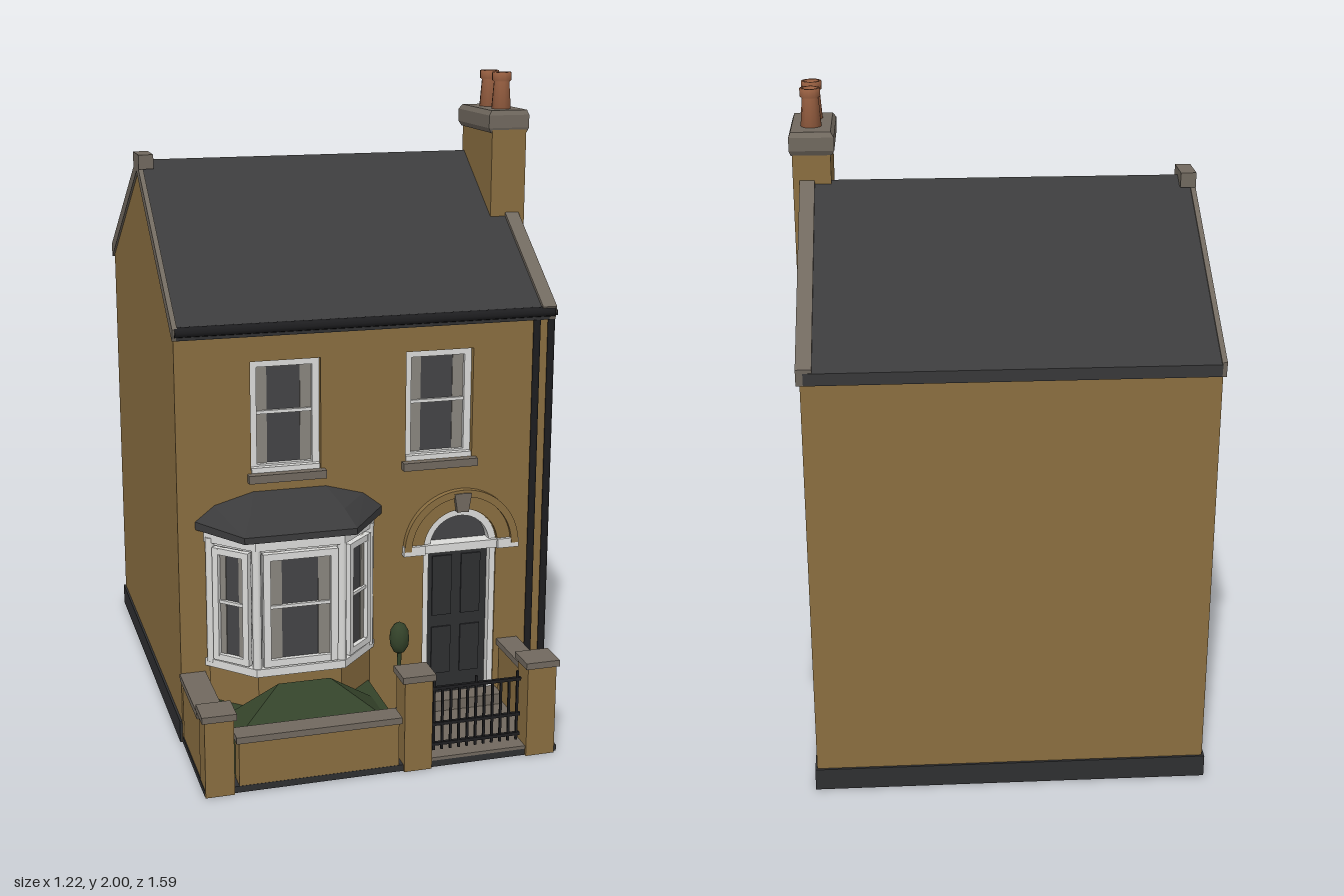
import * as THREE from 'three';
import { ConvexGeometry } from 'three/addons/geometries/ConvexGeometry.js';

const COLORS = {
  brick: 0x8a6e40, slate: 0x3b3b3c, stone: 0x71695f, whitePaint: 0xdcdcda, terracotta: 0x9c6243,
  leaf: 0x34432a, blackMetal: 0x1d1d1f, plinthGrey: 0x2e2f31, glass: 0x444446, curtain: 0x8a867f,
};

export function createModel() {
  const root = new THREE.Group();
  root.name = 'terracedHouse';
  const M = {};
  for (const [name, color] of Object.entries(COLORS)) {
    M[name] = new THREE.MeshStandardMaterial({ color });
    M[name].name = name;
  }

  const add = (name, geo, mat, parent = root) => {
    const mesh = new THREE.Mesh(geo, M[mat]);
    mesh.name = name;
    parent.add(mesh);
    return mesh;
  };
  // Box given by its limits
  const box = (name, mat, x0, x1, y0, y1, z0, z1, parent = root) => {
    const m = add(name, new THREE.BoxGeometry(x1 - x0, y1 - y0, z1 - z0), mat, parent);
    m.position.set((x0 + x1) / 2, (y0 + y1) / 2, (z0 + z1) / 2);
    return m;
  };
  const shapeOf = (pts) => new THREE.Shape(pts.map((p) => new THREE.Vector2(p[0], p[1])));
  const extrude = (shape, depth) =>
    new THREE.ExtrudeGeometry(shape, { depth, bevelEnabled: false, curveSegments: 16 });
  // Side profile (z, y) swept from x0 to x1
  const sweepX = (name, mat, pts, x0, x1) =>
    add(name, extrude(shapeOf(pts), x1 - x0).rotateY(-Math.PI / 2).translate(x1, 0, 0), mat);
  // Floor plan (x, z) raised from y0 to y1
  const raise = (name, mat, pts, y0, y1) =>
    add(name, extrude(shapeOf(pts.map(([x, z]) => [x, -z])), y1 - y0)
      .rotateX(-Math.PI / 2).translate(0, y0, 0), mat);
  const rod = (name, mat, r, len, x, y, z, sides = 8) => {
    const m = add(name, new THREE.CylinderGeometry(r, r, len, sides), mat);
    m.position.set(x, y, z);
    return m;
  };

  // House body and dark plinth
  sweepX('houseBody', 'brick',
    [[-0.765, 0], [0.39, 0], [0.39, 1.325], [-0.14, 1.715], [-0.765, 1.335]], -0.605, 0.57);
  box('plinth', 'plinthGrey', -0.612, 0.576, 0, 0.07, -0.772, 0.425);
  box('breastPlinth', 'plinthGrey', 0.5, 0.607, 0, 0.07, -0.16, 0.125);

  // Front wall with openings for the upper windows and the door
  const wall = shapeOf([[-0.605, 0], [0.57, 0], [0.57, 1.29], [-0.605, 1.29]]);
  const upperX = [-0.27, 0.215];
  for (const x of upperX) {
    const h = new THREE.Path();
    h.moveTo(x - 0.108, 0.85).lineTo(x - 0.108, 1.195).lineTo(x + 0.108, 1.195)
      .lineTo(x + 0.108, 0.85).closePath();
    wall.holes.push(h);
  }
  const doorX = 0.29, springY = 0.56;
  const doorway = new THREE.Path();
  doorway.moveTo(doorX - 0.12, 0.04).lineTo(doorX + 0.12, 0.04).lineTo(doorX + 0.12, springY);
  doorway.absarc(doorX, springY, 0.12, 0, Math.PI, false);
  doorway.closePath();
  wall.holes.push(doorway);
  add('frontWall', extrude(wall, 0.042).translate(0, 0, 0.388), 'brick');

  // Roof slabs, edge trims and ridge block
  const roofProfile = (up) => [[0.46, 1.305 + up], [-0.14, 1.735 + up], [-0.785, 1.36 + up],
    [-0.78, 1.322], [-0.14, 1.7], [0.45, 1.275]];
  sweepX('roof', 'slate', roofProfile(0), -0.6, 0.56);
  sweepX('leftRoofEdge', 'stone', roofProfile(0.006), -0.612, -0.597);
  sweepX('rightRoofEdge', 'stone', roofProfile(0.012), 0.535, 0.58);
  box('ridgeBlock', 'stone', -0.612, -0.565, 1.71, 1.755, -0.2, -0.09);

  // Gutter, fascia and rain pipes
  box('fascia', 'whitePaint', -0.605, 0.56, 1.272, 1.288, 0.43, 0.438);
  rod('gutter', 'blackMetal', 0.016, 1.18, -0.015, 1.3, 0.45).rotation.z = Math.PI / 2;
  box('sideGutter', 'blackMetal', 0.565, 0.585, 1.288, 1.305, 0.125, 0.455);
  for (const x of [0.525, 0.572]) rod('rainPipe', 'blackMetal', 0.012, 1.29, x, 0.645, 0.438);

  // Chimney with cap and two pots
  box('chimneyBreast', 'brick', 0.485, 0.6, 0.0, 1.83, -0.155, 0.12);
  add('chimneyCap', new ConvexGeometry([[1.815, 0.002], [1.83, 0.01], [1.87, 0.01], [1.885, 0]]
    .flatMap(([y, e]) => [[0.483 - e, -0.156 - e], [0.602 + e * 0.6, -0.156 - e],
      [0.483 - e, 0.116 + e * 0.6], [0.602 + e * 0.6, 0.116 + e * 0.6]]
      .map(([x, z]) => new THREE.Vector3(x, y, z)))), 'stone');
  const pot = new THREE.LatheGeometry([[0, 0], [0.032, 0], [0.025, 0.09], [0.031, 0.095],
    [0.031, 0.12], [0.022, 0.12], [0.02, 0.09], [0, 0.09]].map((p) => new THREE.Vector2(...p)), 12);
  for (const z of [0.04, -0.07]) add('chimneyPot', pot, 'terracotta').position.set(0.543, 1.88, z);

  // Sash window facing +z, centred on its group
  const sash = (name, w, h, x, y, z, turn = 0) => {
    const g = new THREE.Group();
    g.name = name;
    g.position.set(x, y, z);
    g.rotation.y = turn;
    root.add(g);
    const a = w / 2, b = h / 2, f = Math.min(0.022, w * 0.16);
    box('glass', 'glass', -a, a, -b, b, 0, 0.004, g);
    for (const s of [-1, 1]) {
      const c = s * (a - f - w * 0.08);
      box('curtain', 'curtain', c - w * 0.08, c + w * 0.08, -b, b, 0.003, 0.007, g);
      box('frameSide', 'whitePaint', s * (a - f / 2) - f / 2, s * (a - f / 2) + f / 2, -b, b, 0, 0.02, g);
      box('frameRail', 'whitePaint', -a, a, s * (b - f / 2) - f / 2, s * (b - f / 2) + f / 2, 0, 0.019, g);
    }
    box('meetingRail', 'whitePaint', -a, a, 0.004, 0.014, 0, 0.014, g);
  };
  for (const x of upperX) {
    sash('upperWindow', 0.216, 0.345, x, 1.0225, 0.391);
    box('upperSill', 'stone', x - 0.12, x + 0.12, 0.825, 0.85, 0.42, 0.455);
    box('sillBoard', 'whitePaint', x - 0.106, x + 0.106, 0.85, 0.866, 0.391, 0.428);
  }

  // Bay window
  const bayX = -0.26;
  const bay = (e) => [[bayX - 0.255 - e, 0.42], [bayX - 0.255 - e, 0.43], [bayX - 0.13 - e * 0.6, 0.55 + e],
    [bayX + 0.13 + e * 0.6, 0.55 + e], [bayX + 0.255 + e, 0.43], [bayX + 0.255 + e, 0.42]];
  raise('bayBase', 'brick', bay(0), 0, 0.25);
  raise('baySill', 'whitePaint', bay(0.014), 0.25, 0.275);
  raise('bayFrame', 'whitePaint', bay(-0.004), 0.27, 0.67);
  raise('bayCornice', 'whitePaint', bay(0.012), 0.65, 0.685);
  sash('bayFrontWindow', 0.23, 0.36, bayX, 0.46, 0.5465);
  for (const s of [-1, 1]) {
    sash('baySideWindow', 0.125, 0.36, bayX + s * 0.19, 0.46, 0.4885, s * 0.765);
    rod('bayCornerPost', 'whitePaint', 0.014, 0.4, bayX + s * 0.132, 0.465, 0.548);
    rod('bayWallPost', 'whitePaint', 0.014, 0.4, bayX + s * 0.25, 0.465, 0.436);
  }
  const bayRoof = [];
  for (const s of [-1, 1]) {
    for (const [x, y, z] of [[0.3, 0.69, 0.42], [0.3, 0.715, 0.42], [0.172, 0.68, 0.575],
      [0.172, 0.7, 0.575], [0.24, 0.762, 0.42], [0.145, 0.75, 0.53], [0.11, 0.798, 0.42]]) {
      bayRoof.push(new THREE.Vector3(bayX + s * x, y, z));
    }
  }
  add('bayRoof', new ConvexGeometry(bayRoof), 'slate');

  // Front door, fanlight and arch
  box('door', 'plinthGrey', doorX - 0.105, doorX + 0.105, 0.06, 0.55, 0.385, 0.398);
  for (const s of [-1, 1]) {
    const x = doorX + s * 0.112;
    box('doorPost', 'whitePaint', x - 0.01, x + 0.01, 0.04, 0.56, 0.388, 0.425);
    for (const [y0, y1] of [[0.12, 0.28], [0.32, 0.52]]) {
      const c = doorX + s * 0.048;
      box('doorPanel', 'plinthGrey', c - 0.032, c + 0.032, y0, y1, 0.396, 0.403);
    }
    box('lintelBracket', 'whitePaint', doorX + s * 0.155 - 0.035, doorX + s * 0.155 + 0.035, 0.545, 0.575, 0.425, 0.45);
  }
  box('doorLintel', 'whitePaint', doorX - 0.12, doorX + 0.12, 0.545, 0.572, 0.388, 0.44);
  add('fanlight', new THREE.CircleGeometry(0.118, 20, 0, Math.PI), 'glass').position.set(doorX, springY, 0.394);
  const arch = (name, mat, r0, r1, z, depth, a0 = 0, a1 = Math.PI) => {
    const s = new THREE.Shape();
    s.absarc(doorX, springY, r1, a0, a1, false);
    s.absarc(doorX, springY, r0, a1, a0, true);
    add(name, extrude(s, depth).translate(0, 0, z), mat);
  };
  arch('fanlightFrame', 'whitePaint', 0.098, 0.12, 0.39, 0.037);
  arch('doorHood', 'brick', 0.122, 0.165, 0.425, 0.014);
  arch('hoodMoulding', 'brick', 0.165, 0.188, 0.425, 0.026);
  arch('keystone', 'stone', 0.118, 0.178, 0.425, 0.03, Math.PI * 0.45, Math.PI * 0.55);
  box('doorStep', 'stone', doorX - 0.13, doorX + 0.13, 0.02, 0.065, 0.39, 0.49);

  // Front garden: ground, path, bed and plants
  box('gardenBase', 'plinthGrey', -0.605, 0.485, 0, 0.02, 0.42, 0.785);
  box('path', 'stone', 0, 0.43, 0.02, 0.03, 0.43, 0.785);
  box('gardenBed', 'leaf', -0.53, -0.01, 0.02, 0.14, 0.43, 0.73);
  add('hedgeMound', new ConvexGeometry([[-0.5, 0.13, 0.55], [-0.5, 0.13, 0.72], [-0.02, 0.13, 0.55],
    [-0.02, 0.13, 0.72], [-0.34, 0.24, 0.6], [-0.18, 0.24, 0.6]]
    .map((p) => new THREE.Vector3(...p))), 'leaf');
  const shrub = add('shrub', new THREE.IcosahedronGeometry(0.04, 1), 'leaf');
  shrub.scale.set(0.8, 1.35, 0.8);
  shrub.position.set(0.082, 0.285, 0.465);
  rod('shrubStem', 'leaf', 0.007, 0.22, 0.082, 0.14, 0.465, 6);

  // Garden walls with stone copings, and gate pillars
  const gardenWall = (name, x0, x1, z0, z1, h) => {
    box(name, 'brick', x0 + 0.008, x1 - 0.008, 0, h - 0.02, z0 + 0.006, z1 - 0.006);
    box(name + 'Coping', 'stone', x0, x1, h - 0.02, h, z0, z1);
  };
  gardenWall('leftGardenWall', -0.61, -0.53, 0.43, 0.71, 0.23);
  gardenWall('rightGardenWall', 0.42, 0.49, 0.43, 0.71, 0.23);
  gardenWall('frontGardenWall', -0.51, -0.01, 0.72, 0.79, 0.175);
  gardenWall('leftPillar', -0.612, -0.51, 0.705, 0.8, 0.255);
  gardenWall('middlePillar', -0.012, 0.09, 0.705, 0.8, 0.305);
  gardenWall('rightPillar', 0.375, 0.482, 0.705, 0.8, 0.305);

  // Iron gate
  for (const y of [0.055, 0.12, 0.235]) box('gateRail', 'blackMetal', 0.09, 0.375, y, y + 0.01, 0.75, 0.76);
  for (let i = 0; i <= 10; i++) {
    const x = 0.1 + i * 0.0265;
    const top = i % 5 === 0 ? 0.265 : 0.245;
    box('gateBar', 'blackMetal', x - 0.0035, x + 0.0035, 0.04, top, 0.751, 0.758);
  }
  return root;
}
